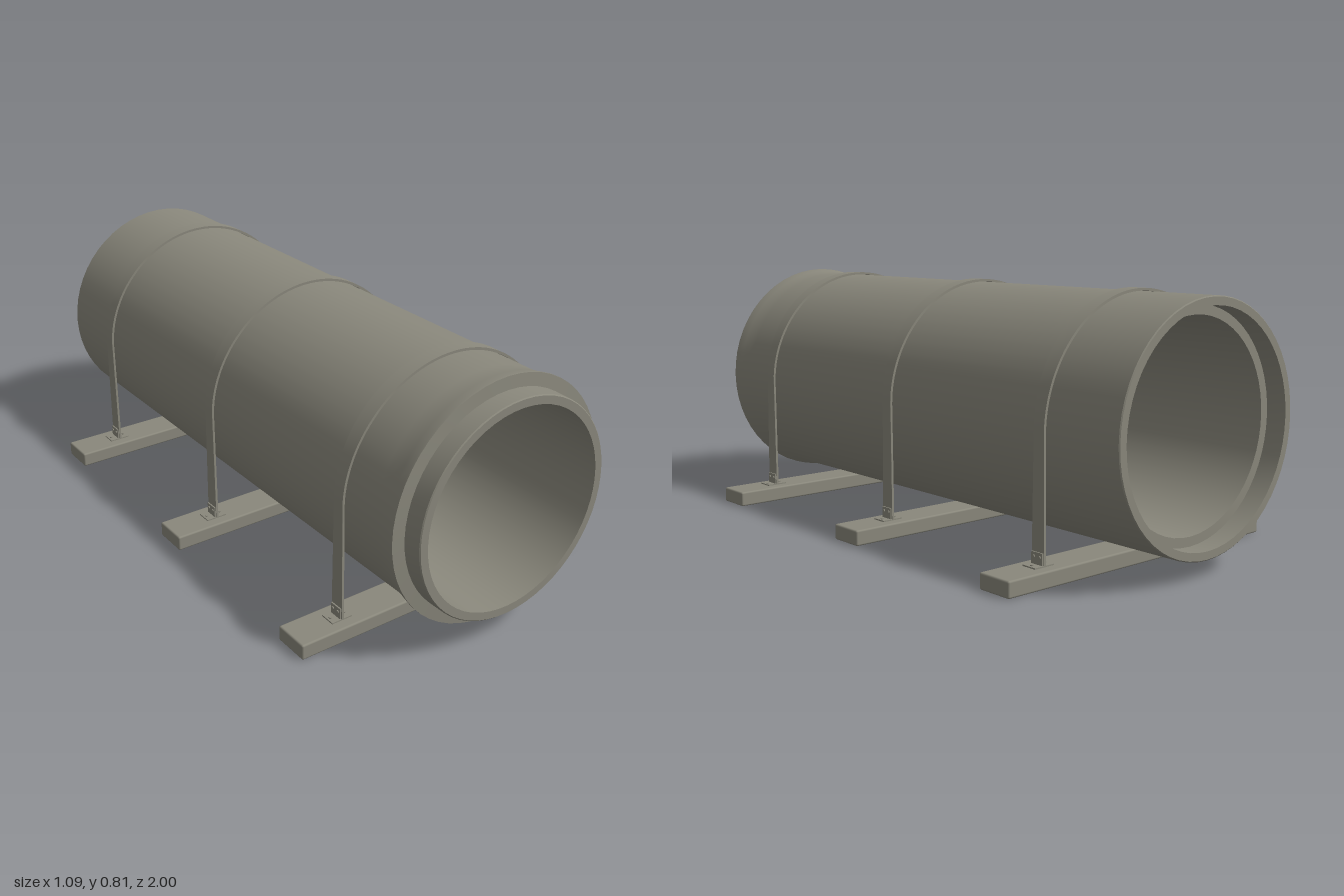
import * as THREE from 'three';
import { toCreasedNormals } from 'three/addons/utils/BufferGeometryUtils.js';
import { RoundedBoxGeometry } from 'three/addons/geometries/RoundedBoxGeometry.js';

const material = new THREE.MeshStandardMaterial({ color: 0x8a887c });
const AXIS_Y = 0.428;
const BEAM_TOP = 0.05;
const STRAP_R = 0.381;

function add(parent, name, geometry, x = 0, y = 0, z = 0) {
  const mesh = new THREE.Mesh(geometry, material);
  mesh.name = name;
  mesh.position.set(x, y, z);
  parent.add(mesh);
  return mesh;
}

// Pipe wall as [radius, z]: outside from back to front, then the bore back again
function pipeGeometry() {
  const profile = [
    [0.345, -1], [0.369, -1], [0.372, -0.997], [0.372, 0.84], [0.374, 0.87],
    [0.379, 0.9], [0.385, 0.928], [0.385, 0.935], [0.345, 0.938], [0.344, 0.997],
    [0.341, 1], [0.316, 1], [0.316, -0.935], [0.345, -0.935], [0.345, -1],
  ].map(([r, z]) => new THREE.Vector2(r, z));
  const geometry = new THREE.LatheGeometry(profile, 56);
  geometry.rotateX(Math.PI / 2);
  return toCreasedNormals(geometry, 0.5);
}

// Thin band: half circle over the pipe with straight legs down to the beam
function strapGeometry() {
  const inner = STRAP_R - 0.008;
  const width = 0.05;
  const shape = new THREE.Shape();
  shape.moveTo(STRAP_R, BEAM_TOP);
  shape.lineTo(STRAP_R, AXIS_Y);
  shape.absarc(0, AXIS_Y, STRAP_R, 0, Math.PI, false);
  shape.lineTo(-STRAP_R, BEAM_TOP);
  shape.lineTo(-inner, BEAM_TOP);
  shape.lineTo(-inner, AXIS_Y);
  shape.absarc(0, AXIS_Y, inner, Math.PI, 0, true);
  shape.lineTo(inner, BEAM_TOP);
  shape.closePath();
  const geometry = new THREE.ExtrudeGeometry(shape, { depth: width, bevelEnabled: false, curveSegments: 28 });
  geometry.translate(0, 0, -width / 2);
  // The band narrows towards the height of the pipe's axis
  const p = geometry.attributes.position;
  for (let i = 0; i < p.count; i++) {
    const t = Math.min(1, Math.abs(p.getY(i) - AXIS_Y) / 0.25);
    p.setZ(i, p.getZ(i) * (0.8 + 0.2 * t));
  }
  return toCreasedNormals(geometry, 0.5);
}

// Foot plate, clamp and bolts holding one strap end
function makeAnchor(side) {
  const anchor = new THREE.Group();
  anchor.name = side > 0 ? 'leftAnchor' : 'rightAnchor';
  anchor.position.set(side * 0.379, BEAM_TOP, 0);
  add(anchor, 'footPlate', new THREE.BoxGeometry(0.072, 0.004, 0.05), 0, 0.002, 0);
  add(anchor, 'clamp', new THREE.BoxGeometry(0.013, 0.038, 0.044), 0, 0.02, 0);
  for (const s of [-1, 1]) {
    add(anchor, 'plateBolt', new THREE.CylinderGeometry(0.005, 0.005, 0.004, 8), s * 0.025, 0.005, 0);
    add(anchor, 'clampBolt', new THREE.CylinderGeometry(0.005, 0.005, 0.02, 8), 0, 0.026, s * 0.012)
      .rotation.z = Math.PI / 2;
  }
  return anchor;
}

export function createModel() {
  const model = new THREE.Group();
  model.name = 'strappedPipe';
  add(model, 'pipe', pipeGeometry(), 0, AXIS_Y, 0);

  // Three supports along the pipe
  const strap = strapGeometry();
  const beam = new RoundedBoxGeometry(1.09, BEAM_TOP, 0.12, 2, 0.006);
  for (const z of [0.69, -0.01, -0.71]) {
    const support = new THREE.Group();
    support.name = 'support';
    support.position.z = z;
    add(support, 'beam', beam, 0, BEAM_TOP / 2, 0);
    add(support, 'strap', strap);
    support.add(makeAnchor(1), makeAnchor(-1));
    model.add(support);
  }
  return model;
}
